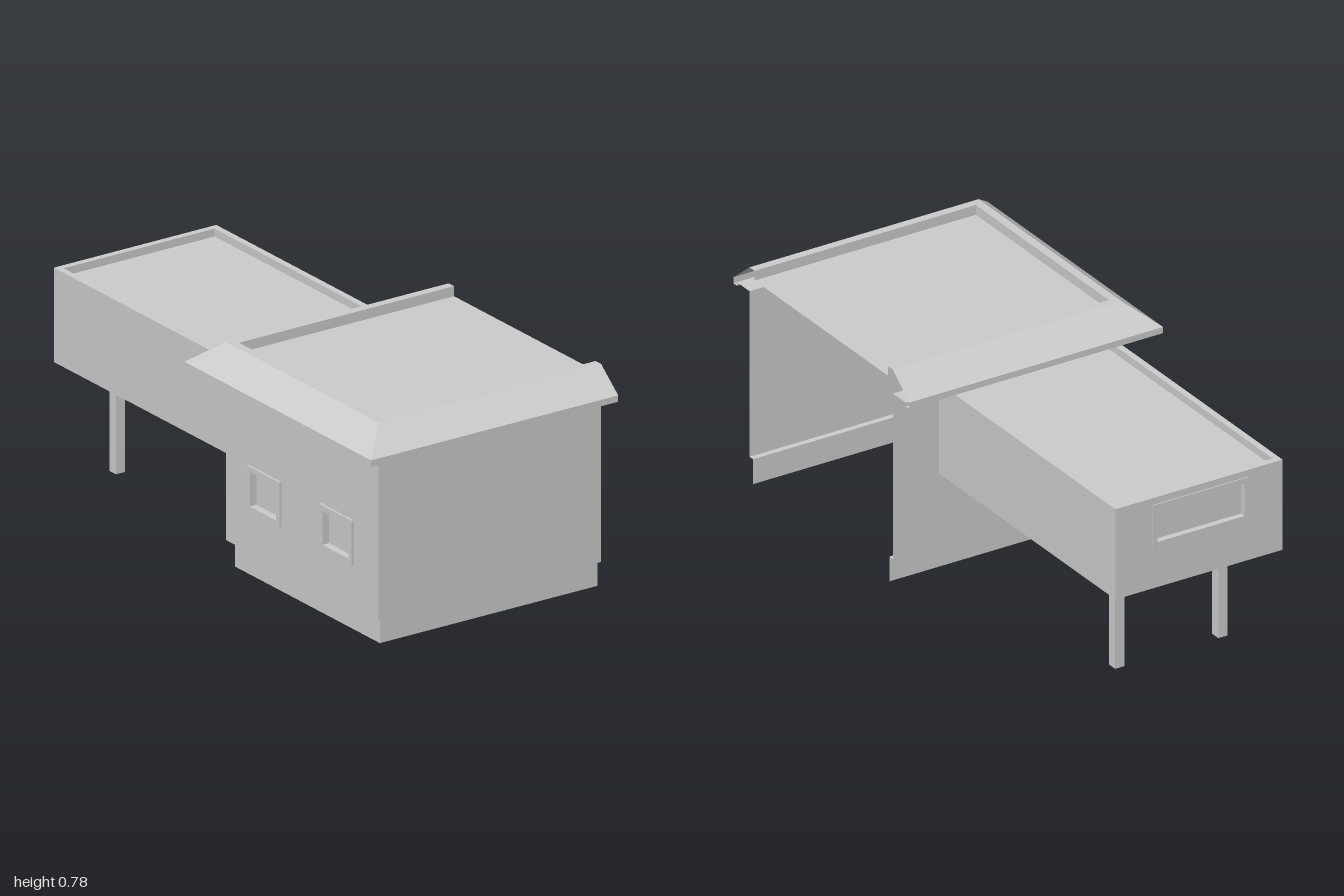
import * as THREE from 'three';

const material = new THREE.MeshStandardMaterial({ color: 0xcccccc, side: THREE.DoubleSide, flatShading: true });

function add(parent, name, geometry) {
  const mesh = new THREE.Mesh(geometry, material);
  mesh.name = name;
  parent.add(mesh);
  return mesh;
}

// Sweep a profile of [outward offset, y] along a three-sided path; sides picks which runs to build
function sweep(path, profile, sides = [0, 1, 2]) {
  const pos = [];
  for (const s of sides) {
    for (let i = 0; i < profile.length - 1; i++) {
      const [[o0, y0], [o1, y1]] = [profile[i], profile[i + 1]];
      const p = (o, y, k) => { const [x, z] = path(o)[k]; return [x, y, z]; };
      const a = p(o0, y0, s), b = p(o0, y0, s + 1), c = p(o1, y1, s + 1), d = p(o1, y1, s);
      pos.push(...a, ...b, ...c, ...a, ...c, ...d);
    }
  }
  const g = new THREE.BufferGeometry();
  g.setAttribute('position', new THREE.Float32BufferAttribute(pos, 3));
  g.computeVertexNormals();
  return g;
}

function rectangle(target, x0, y0, x1, y1) {
  target.moveTo(x0, y0);
  target.lineTo(x1, y0);
  target.lineTo(x1, y1);
  target.lineTo(x0, y1);
  target.closePath();
  return target;
}

// Flat wall in the xy plane with rectangular openings
function wallWithOpenings(x0, y0, x1, y1, openings) {
  const shape = rectangle(new THREE.Shape(), x0, y0, x1, y1);
  for (const [cx, cy, w, h] of openings) {
    shape.holes.push(rectangle(new THREE.Path(), cx - w / 2, cy - h / 2, cx + w / 2, cy + h / 2));
  }
  return new THREE.ShapeGeometry(shape);
}

// Level sheet between two corners
function sheet(x0, z0, x1, z1, y) {
  return new THREE.PlaneGeometry(x1 - x0, z1 - z0).rotateX(-Math.PI / 2)
    .translate((x0 + x1) / 2, y, (z0 + z1) / 2);
}

// Framed window with a recessed pane, facing +z
function makeWindow(name, w, h, out) {
  const border = 0.018, recess = 0.02;
  const group = new THREE.Group();
  group.name = name;
  const shape = rectangle(new THREE.Shape(), -w / 2, -h / 2, w / 2, h / 2);
  const iw = w / 2 - border, ih = h / 2 - border;
  shape.holes.push(rectangle(new THREE.Path(), -iw, -ih, iw, ih));
  const frame = new THREE.ExtrudeGeometry(shape, { depth: recess + out, bevelEnabled: false });
  add(group, 'windowFrame', frame.translate(0, 0, -recess));
  add(group, 'windowPane', new THREE.PlaneGeometry(2 * iw, 2 * ih).translate(0, 0, -recess + 0.002));
  return group;
}

export function createModel() {
  const model = new THREE.Group();

  // Main block, open at the back
  const L = 0.05, R = 0.9, F = 0.39, B = -0.487;
  const housePath = o => [[L - o, B], [L - o, F + o], [R + o, F + o], [R + o, B]];
  const house = new THREE.Group();
  house.name = 'house';
  model.add(house);
  add(house, 'plinth', sweep(housePath, [[0, 0.09], [-0.021, 0.09], [-0.021, 0]]));
  add(house, 'sideWalls', sweep(housePath, [[0, 0.69], [0, 0.09]], [0, 2]));

  // Front wall and its two windows
  const openings = [0.268, 0.672].map(x => [x, 0.315, 0.182, 0.155]);
  add(house, 'frontWall', wallWithOpenings(L, 0.09, R, 0.69, openings)).position.z = F;
  for (const [x, y, w, h] of openings) {
    const win = makeWindow('frontWindow', w, h, 0.008);
    win.position.set(x, y, F);
    house.add(win);
  }

  // Roof: sunken deck, low parapet, sloping skirt and eaves
  add(house, 'roofSkirt', sweep(housePath, [
    [-0.03, 0.742], [-0.03, 0.777], [0, 0.777], [0.096, 0.699],
    [0.096, 0.677], [0.076, 0.677], [0.076, 0.69], [0, 0.69],
  ]));
  add(house, 'roofDeck', sheet(L + 0.03, B, R - 0.03, F - 0.03, 0.742));

  // Raised side wing
  const W = -0.996, WB = -0.31, WF = 0.33, lo = 0.35, hi = 0.677;
  const wingPath = o => [[L, WB - o], [W - o, WB - o], [W - o, WF + o], [L, WF + o]];
  const wing = new THREE.Group();
  wing.name = 'wing';
  model.add(wing);
  add(wing, 'wingParapet', sweep(wingPath, [[-0.023, 0.65], [-0.023, hi], [0, hi]]));
  add(wing, 'wingSideWalls', sweep(wingPath, [[0, hi], [0, lo]], [0, 2]));
  add(wing, 'wingBottomRim', sweep(wingPath, [[0, lo], [-0.023, lo], [-0.023, lo + 0.012]]));
  add(wing, 'wingDeck', sheet(W + 0.023, WB + 0.023, L, WF - 0.023, 0.65));
  add(wing, 'wingFloor', sheet(W + 0.023, WB + 0.023, L, WF - 0.023, lo + 0.012));

  // Wing end wall with a wide window
  const end = new THREE.Group();
  end.name = 'wingEnd';
  end.rotation.y = -Math.PI / 2;
  end.position.x = W;
  wing.add(end);
  const opening = [0.015, 0.575, 0.37, 0.155];
  add(end, 'wingEndWall', wallWithOpenings(WB, lo, WF, hi, [opening]));
  const endWindow = makeWindow('wingEndWindow', opening[2], opening[3], 0.004);
  endWindow.position.set(opening[0], opening[1], 0);
  end.add(endWindow);

  // Two posts carry the wing
  for (const z of [0.205, -0.19]) {
    const post = add(wing, 'post', new THREE.BoxGeometry(0.036, lo + 0.012, 0.036));
    post.position.set(-0.818, (lo + 0.012) / 2, z);
  }
  return model;
}
